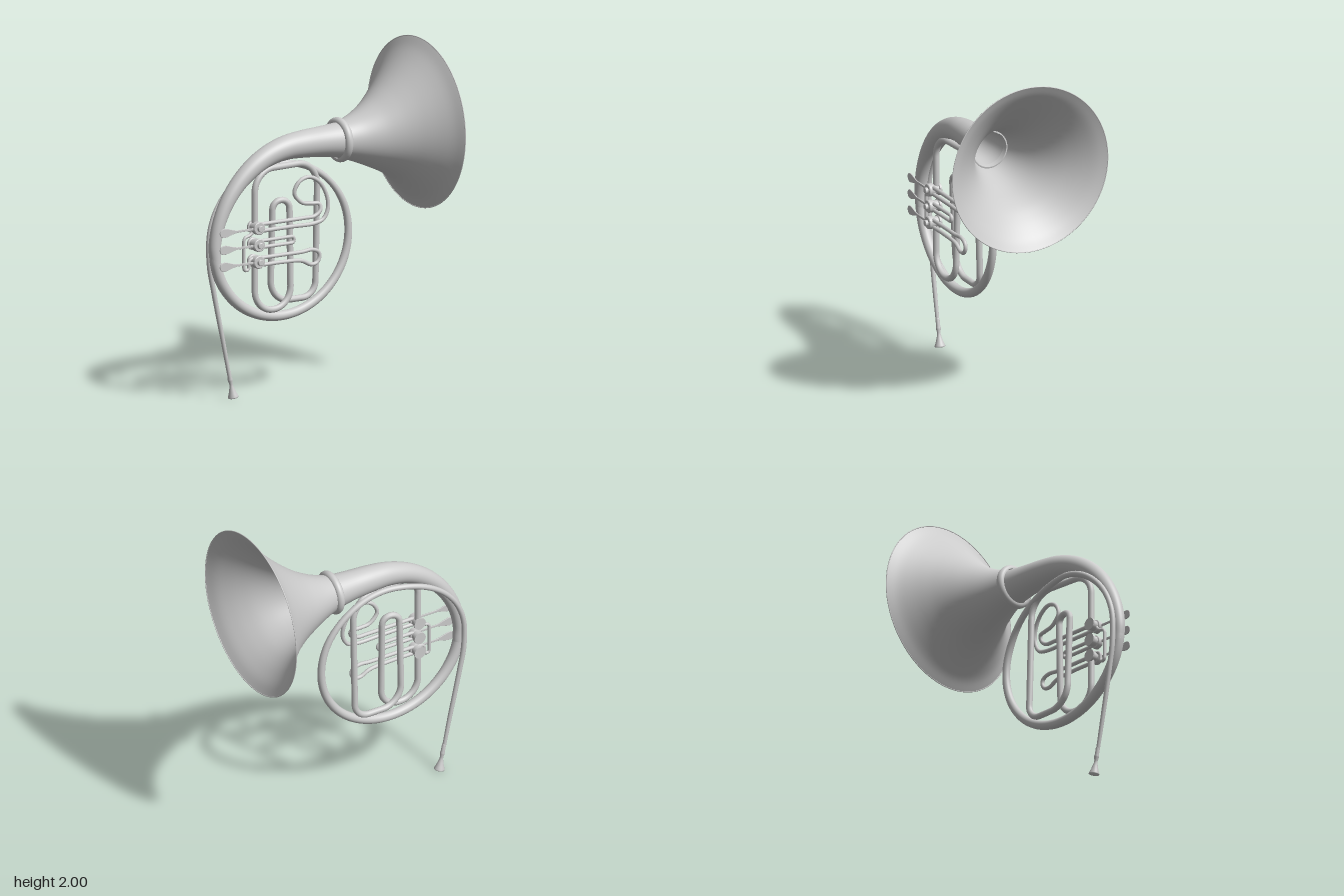
import * as THREE from 'three';

const mat = new THREE.MeshStandardMaterial({ color: 0xcccccc, side: THREE.DoubleSide });
const V = (x, y, z = 0) => new THREE.Vector3(x, y, z);

function add(parent, name, geometry) {
  const m = new THREE.Mesh(geometry, mat);
  m.name = name;
  parent.add(m);
  return m;
}

// Tube of varying radius through rows of [x, y, z, radius]; facing fixes the section direction
function taperedTube(rows, steps, sides, facing) {
  const path = new THREE.CatmullRomCurve3(rows.map(r => V(r[0], r[1], r[2])), false, 'catmullrom');
  const radii = new THREE.CatmullRomCurve3(rows.map(r => V(r[3], 0, 0)), false, 'catmullrom');
  const pos = [], idx = [], n = V(0, 0, 1);
  for (let i = 0; i <= steps; i++) {
    const t = i / steps, c = path.getPoint(t), r = radii.getPoint(t).x;
    const tan = facing ?? path.getTangent(t);
    n.addScaledVector(tan, -n.dot(tan)).normalize();
    const b = V().crossVectors(tan, n);
    for (let j = 0; j < sides; j++) {
      const a = j / sides * Math.PI * 2;
      const p = c.clone().addScaledVector(n, r * Math.cos(a)).addScaledVector(b, r * Math.sin(a));
      pos.push(p.x, p.y, p.z);
      if (i < steps) {
        const k = i * sides, j2 = (j + 1) % sides;
        idx.push(k + j, k + j2, k + sides + j, k + j2, k + sides + j2, k + sides + j);
      }
    }
  }
  const g = new THREE.BufferGeometry();
  g.setAttribute('position', new THREE.Float32BufferAttribute(pos, 3));
  g.setIndex(idx);
  g.computeVertexNormals();
  return g;
}

// Bent pipe: straight runs between points, corners rounded (a fourth value sets one corner)
function bentPipe(points, bend, radius, steps) {
  const pts = points.map(p => V(...p)), path = new THREE.CurvePath();
  let last = pts[0];
  for (let i = 1; i < pts.length - 1; i++) {
    const p = pts[i], inDir = pts[i - 1].clone().sub(p), outDir = pts[i + 1].clone().sub(p);
    const d = Math.min(points[i][3] ?? bend, inDir.length() * 0.49, outDir.length() * 0.49);
    inDir.setLength(d);
    outDir.setLength(d);
    const a = p.clone().add(inDir), b = p.clone().add(outDir);
    path.add(new THREE.LineCurve3(last, a));
    path.add(new THREE.CubicBezierCurve3(a, p.clone().addScaledVector(inDir, 0.45), p.clone().addScaledVector(outDir, 0.45), b));
    last = b;
  }
  path.add(new THREE.LineCurve3(last, pts[pts.length - 1]));
  return new THREE.TubeGeometry(path, steps, radius, 12);
}

const smoothPipe = (pts, radius, steps) =>
  new THREE.TubeGeometry(new THREE.CatmullRomCurve3(pts.map(p => V(...p))), steps, radius, 12);

const profile = pts => pts.map(p => new THREE.Vector2(...p));

export function createModel() {
  const horn = new THREE.Group();
  horn.name = 'frenchHorn';

  // Point on the large ring
  const ring = (deg, z, r) => {
    const a = deg * Math.PI / 180;
    return [-0.225 + 0.47 * Math.cos(a), 0.912 + 0.448 * Math.sin(a), z, r];
  };

  // Flared bell with upright sections
  add(horn, 'bell', taperedTube([
    [0.725, 1.495, 0, 0.505], [0.69, 1.494, 0, 0.449], [0.65, 1.492, 0, 0.4], [0.6, 1.489, 0, 0.348],
    [0.54, 1.483, 0, 0.294], [0.47, 1.472, 0, 0.242], [0.39, 1.46, 0, 0.193], [0.3, 1.454, 0, 0.149],
    [0.22, 1.454, 0, 0.119], [0.16, 1.456, 0, 0.104]
  ], 54, 64, V(-1, 0, 0)));
  const rim = add(horn, 'bellRim', new THREE.TorusGeometry(0.503, 0.003, 8, 72));
  rim.position.set(0.723, 1.495, 0);
  rim.rotation.y = Math.PI / 2;

  // Tapering bend from the bell throat to the ring
  add(horn, 'bellTail', taperedTube([
    [0.17, 1.455, 0, 0.103], [0.05, 1.46, 0, 0.089],
    [-0.08, 1.461, 0, 0.08], [-0.2, 1.453, 0, 0.071], [-0.32, 1.42, 0, 0.062], [-0.43, 1.361, 0, 0.055],
    [-0.53, 1.276, 0, 0.048], [-0.61, 1.17, 0, 0.043], [-0.665, 1.05, 0, 0.039], [-0.69, 0.93, 0, 0.036],
    [-0.685, 0.83, 0, 0.033]
  ], 90, 40));

  // Rounded collar at the throat
  const collarPoints = [];
  for (let i = 0; i <= 14; i++) {
    const a = i / 14 * Math.PI;
    collarPoints.push([0.106 + 0.026 * Math.sin(a), -0.025 * Math.cos(a)]);
  }
  const collar = add(horn, 'bellCollar', new THREE.LatheGeometry(profile(collarPoints), 48));
  collar.position.set(0.179, 1.455, 0);
  collar.rotation.z = -Math.PI / 2;

  // Ring continuing round, then passing behind the bend and down to the mouthpiece
  const loop = [[-0.69, 0.93, 0, 0.034], [-0.685, 0.83, 0, 0.033]];
  for (let d = 205; d <= 385; d += 15) loop.push(ring(d, 0, 0.033 - (d - 205) / 180 * 0.012));
  for (let d = 400; d <= 430; d += 15) loop.push(ring(d, -0.004 * (d - 385) / 15, 0.019));
  loop.push(ring(445, -0.025, 0.018), ring(460, -0.048, 0.017), ring(475, -0.06, 0.017),
    ring(490, -0.063, 0.016), ring(505, -0.061, 0.016), ring(520, -0.058, 0.016), ring(535, -0.055, 0.016),
    [-0.69, 0.8, -0.053, 0.016], [-0.666, 0.66, -0.05, 0.015], [-0.634, 0.5, -0.047, 0.014],
    [-0.6, 0.34, -0.045, 0.013], [-0.563, 0.16, -0.045, 0.011]);
  add(horn, 'ringAndLeadpipe', taperedTube(loop, 200, 18));

  // Mouthpiece with a hollow cup
  const mouthpiece = add(horn, 'mouthpiece', new THREE.LatheGeometry(profile([
    [0, 0.045], [0.008, 0.035], [0.022, 0.008], [0.026, 0], [0.031, 0.002], [0.031, 0.008], [0.024, 0.025],
    [0.016, 0.052], [0.011, 0.07], [0.01, 0.085], [0.014, 0.105], [0.0145, 0.115], [0.012, 0.125],
    [0.0125, 0.165], [0.009, 0.17]
  ]), 24));
  mouthpiece.position.set(-0.529, 0.006, -0.045);
  mouthpiece.rotation.z = 0.205;

  // Main inner tubing, one run from the top valve round to the bottom valve
  add(horn, 'innerTubing', bentPipe([
    [-0.43, 1.0, 0.03], [-0.43, 1.352, 0.03], [0.03, 1.352, 0, 0.15], [0.03, 0.545, -0.025, 0.09],
    [-0.285, 0.545, -0.025], [-0.285, 1.15, 0], [-0.178, 1.15, 0.015], [-0.178, 0.515, 0.03],
    [-0.43, 0.515, 0.03], [-0.43, 0.82, 0.03]
  ], 0.13, 0.019, 260));

  // Three small valve slides
  const z = 0.058;
  add(horn, 'topSlide', smoothPipe([
    [-0.43, 1.037, z], [-0.25, 1.037, z], [-0.1, 1.037, z], [-0.03, 1.04, z], [0.01, 1.07, z],
    [0.01, 1.105, z - 0.01], [-0.04, 1.112, z - 0.02], [-0.105, 1.125, z - 0.025], [-0.155, 1.185, z - 0.025],
    [-0.125, 1.25, z - 0.02], [-0.06, 1.272, z - 0.015], [0.01, 1.235, z - 0.01], [0.058, 1.15, z - 0.005],
    [0.063, 1.075, z], [0.03, 1.015, z], [-0.03, 0.997, z], [-0.2, 0.997, z], [-0.43, 0.997, z]
  ], 0.012, 160));
  add(horn, 'middleSlide', bentPipe([
    [-0.43, 0.938, z], [-0.175, 0.938, z], [-0.175, 0.9, z], [-0.43, 0.9, z]
  ], 0.02, 0.011, 80));
  add(horn, 'bottomSlide', smoothPipe([
    [-0.43, 0.838, z], [-0.25, 0.838, z], [-0.12, 0.838, z], [-0.05, 0.843, z], [-0.005, 0.825, z],
    [0.004, 0.795, z], [-0.015, 0.763, z], [-0.055, 0.756, z], [-0.12, 0.785, z], [-0.25, 0.795, z], [-0.43, 0.795, z]
  ], 0.012, 110));

  // Small linking pipe beside the valves
  add(horn, 'linkPipe', bentPipe([
    [-0.44, 1.02, 0.05], [-0.475, 0.975, 0.05], [-0.52, 0.97, 0.05], [-0.52, 0.773, 0.05],
    [-0.486, 0.773, 0.05], [-0.486, 0.835, 0.05], [-0.44, 0.84, 0.05]
  ], 0.025, 0.01, 90));

  // Rotary valves with finger levers; doubled profile points keep the edges crisp
  const valvePoints = [[0, 0.008], [0.038, 0.008], [0.038, 0.02], [0.031, 0.024], [0.031, 0.05], [0.038, 0.053],
    [0.038, 0.083], [0.034, 0.087], [0.018, 0.087], [0.018, 0.102], [0.015, 0.104], [0, 0.104]];
  const valveGeo = new THREE.LatheGeometry(profile(valvePoints.flatMap(p => [p, p]).slice(1, -1)), 28);
  const paddle = new THREE.Shape();
  paddle.moveTo(-0.02, 0.005);
  paddle.lineTo(-0.15, 0.005);
  paddle.bezierCurveTo(-0.19, 0.01, -0.215, 0.025, -0.24, 0.025);
  paddle.bezierCurveTo(-0.28, 0.025, -0.28, -0.025, -0.24, -0.025);
  paddle.bezierCurveTo(-0.215, -0.025, -0.19, -0.01, -0.15, -0.005);
  paddle.lineTo(-0.02, -0.005);
  const leverGeo = new THREE.ExtrudeGeometry(paddle, {
    depth: 0.003, bevelEnabled: true, bevelSize: 0.002, bevelThickness: 0.002, bevelSegments: 2, curveSegments: 14
  });
  [1.018, 0.918, 0.818].forEach((y, i) => {
    const valve = new THREE.Group();
    valve.name = 'valve' + (i + 1);
    valve.position.set(-0.433, y, 0);
    add(valve, 'valveBody', valveGeo).rotation.x = Math.PI / 2;
    add(valve, 'fingerLever', leverGeo).position.z = 0.073;
    horn.add(valve);
  });

  return horn;
}
